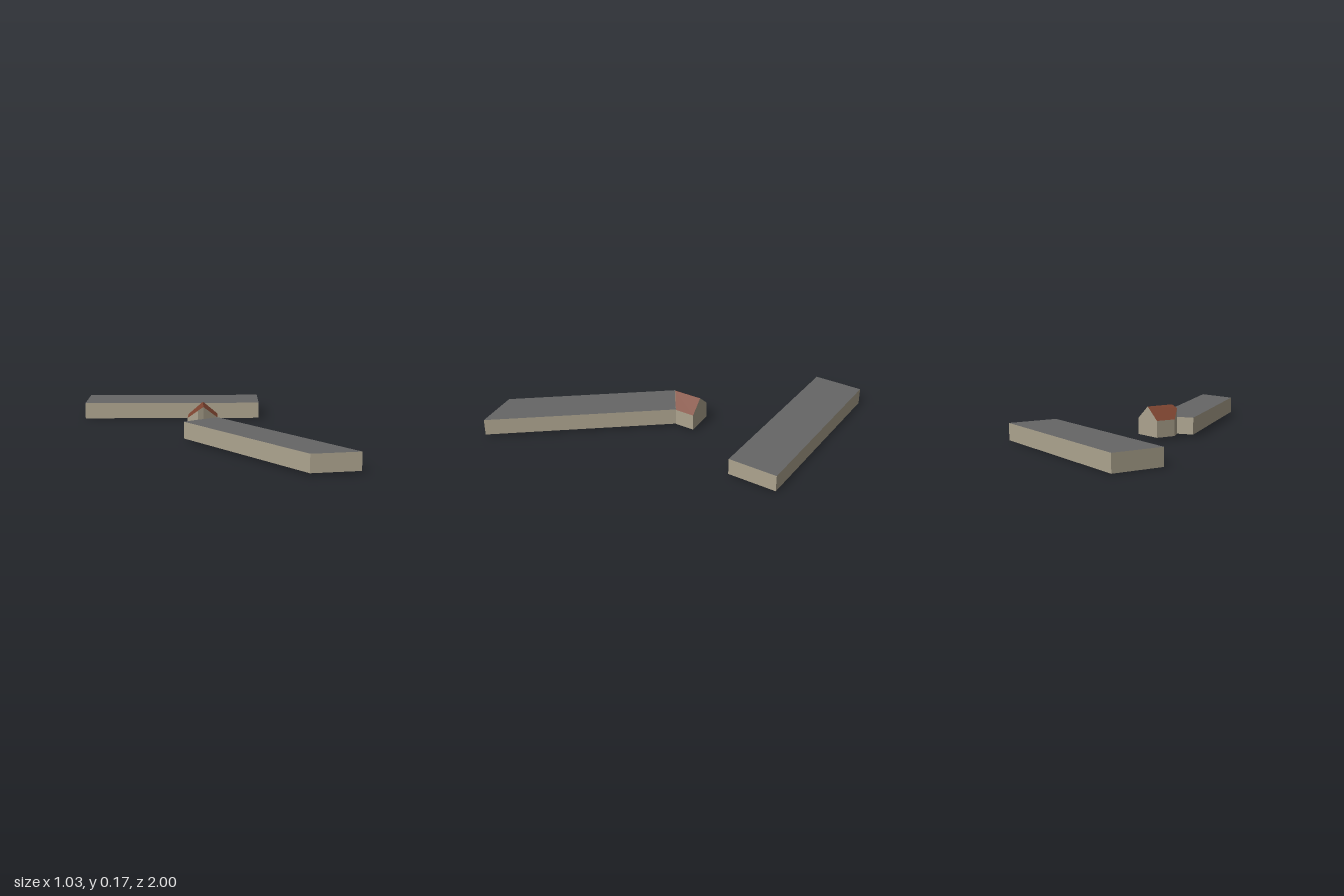
import * as THREE from 'three';

// Flat convex polygons (counter-clockwise from outside) as fans of triangles
function polygons(name, material, faces) {
  const pos = [];
  for (const f of faces) {
    for (let i = 1; i < f.length - 1; i++) pos.push(...f[0], ...f[i], ...f[i + 1]);
  }
  const geometry = new THREE.BufferGeometry();
  geometry.setAttribute('position', new THREE.Float32BufferAttribute(pos, 3));
  geometry.computeVertexNormals();
  const mesh = new THREE.Mesh(geometry, material);
  mesh.name = name;
  return mesh;
}

// Upright walls from the ground to a ring of top points, open underneath
function walls(name, material, ring, ground) {
  return polygons(name, material, ring.map((a, i) => {
    const b = ring[(i + 1) % ring.length];
    return [[a[0], ground, a[2]], [b[0], ground, b[2]], b, a];
  }));
}

// Flat-roofed hall over a four-cornered plan of [x, z]
function hall(name, plan, ground, top, wallMaterial, roofMaterial) {
  const group = new THREE.Group();
  group.name = name;
  const ring = plan.map(([x, z]) => [x, top, z]);
  group.add(walls(name + 'Walls', wallMaterial, ring, ground));
  group.add(polygons(name + 'Roof', roofMaterial, [ring]));
  return group;
}

// Small gabled house with one corner cut off
function gabledHouse(wallMaterial, roofMaterial) {
  const group = new THREE.Group();
  group.name = 'gabledHouse';
  const eave = 0.098, ridge = 0.165;
  const cutFront = [-0.159, 0.147, 0.014];
  const ridgeFront = [-0.128, ridge, 0.017];
  const rightFront = [-0.037, eave, 0.003];
  const rightBack = [0.012, eave, -0.095];
  const ridgeBack = [-0.061, ridge, -0.125];
  const leftBack = [-0.134, eave, -0.155];
  const cutLeft = [-0.185, eave, -0.058];
  group.add(walls('houseWalls', wallMaterial,
    [cutFront, ridgeFront, rightFront, rightBack, ridgeBack, leftBack, cutLeft], 0.01));
  group.add(polygons('houseRoof', roofMaterial, [
    [ridgeFront, rightFront, rightBack, ridgeBack],
    [ridgeBack, leftBack, cutLeft, cutFront, ridgeFront],
  ]));
  return group;
}

export function createModel() {
  const paint = (name, color) => {
    const m = new THREE.MeshStandardMaterial({ color, side: THREE.DoubleSide });
    m.name = name;
    return m;
  };
  const plaster = paint('beige plaster', 0xada48f);
  const grey = paint('grey roofing', 0x666666);
  const tile = paint('brown roof tile', 0x7d4430);

  const model = new THREE.Group();
  model.name = 'buildings';
  model.add(hall('backHall',
    [[-0.515, -0.76], [0.393, -0.31], [0.515, -0.55], [-0.395, -1.0]], 0, 0.09, plaster, grey));
  model.add(hall('frontHall',
    [[-0.045, 0.927], [0.187, 1.0], [-0.04, 0.0], [-0.248, 0.03]], 0.01, 0.1, plaster, grey));
  model.add(gabledHouse(plaster, tile));
  return model;
}
